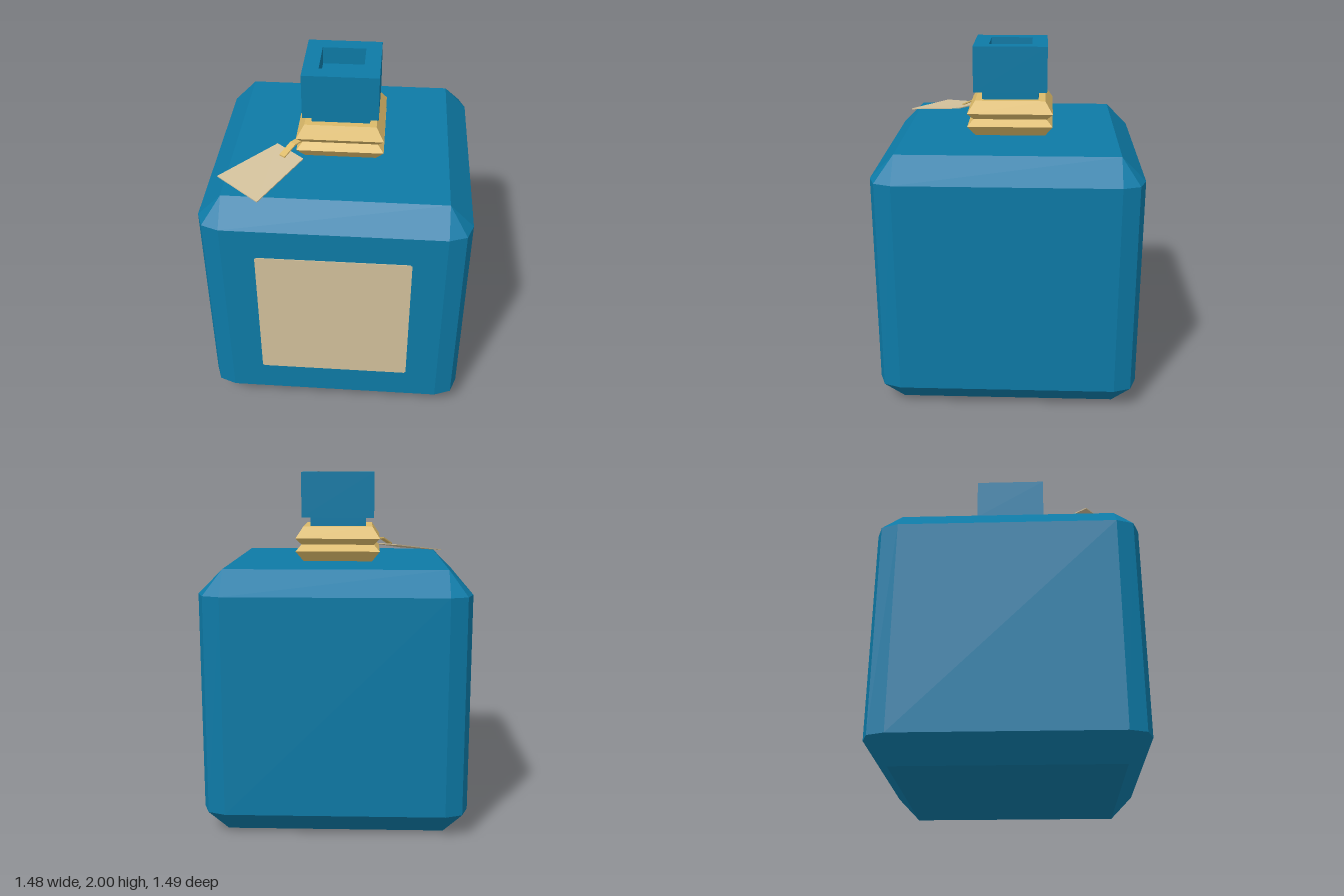
import * as THREE from 'three';

const blue = new THREE.MeshStandardMaterial({ color: 0x0d7aa6 });
blue.name = 'blue glass';
const paper = new THREE.MeshStandardMaterial({ color: 0xd2c09b });
paper.name = 'paper';
const gold = new THREE.MeshStandardMaterial({ color: 0xdcba6a });
gold.name = 'gold cord';

// Faceted solid through rings of [x, y, z] points (anticlockwise from above), capped at both ends
function loft(name, rings, material) {
  const pos = [];
  const tri = (a, b, c) => {
    const [p, q, r] = [a, b, c].map((v) => new THREE.Vector3(...v));
    const area = q.clone().sub(p).cross(r.clone().sub(p)).length();
    if (area > 1e-8) pos.push(...a, ...b, ...c);
  };
  const n = rings[0].length;
  for (let k = 0; k < rings.length - 1; k++) {
    const lo = rings[k], hi = rings[k + 1];
    for (let i = 0; i < n; i++) {
      const j = (i + 1) % n;
      tri(lo[i], lo[j], hi[j]);
      tri(lo[i], hi[j], hi[i]);
    }
  }
  const bottom = rings[0], top = rings[rings.length - 1];
  for (let i = 1; i < n - 1; i++) {
    tri(bottom[0], bottom[i + 1], bottom[i]);
    tri(top[0], top[i], top[i + 1]);
  }
  const geometry = new THREE.BufferGeometry();
  geometry.setAttribute('position', new THREE.Float32BufferAttribute(pos, 3));
  geometry.computeVertexNormals();
  const mesh = new THREE.Mesh(geometry, material);
  mesh.name = name;
  return mesh;
}

// Square ring whose corners are three points: flat half-width, corner point, outer half-width
function ring(y, flat, corner = flat, outer = flat) {
  const pts = [];
  for (let q = 0; q < 4; q++) {
    const c = Math.round(Math.cos(q * Math.PI / 2)), s = Math.round(Math.sin(q * Math.PI / 2));
    for (const [x, z] of [[flat, outer], [corner, corner], [outer, flat]]) {
      pts.push([x * c + z * s, y, z * c - x * s]);
    }
  }
  return pts;
}

// Thin sheet from four corners
const sheet = (name, corners, thickness, material) =>
  loft(name, [corners, corners.map(([x, y, z]) => [x, y + thickness, z])], material);

export function createModel() {
  const group = new THREE.Group();

  // Bevelled square bottle
  group.add(loft('bottle', [
    ring(0, 0.61),
    ring(0.135, 0.61, 0.706, 0.742),
    ring(1.355, 0.61, 0.706, 0.742),
    ring(1.488, 0.61),
  ], blue));

  // Neck and hollow-topped stopper
  group.add(loft('neck', [ring(1.48, 0.162), ring(1.745, 0.162)], blue));
  group.add(loft('stopper', [
    ring(1.74, 0.21), ring(2, 0.21), ring(2, 0.122), ring(1.9, 0.122),
  ], blue));

  // Double-ridged collar
  group.add(loft('collar', [
    ring(1.488, 0.2), ring(1.548, 0.244), ring(1.585, 0.21), ring(1.622, 0.244), ring(1.69, 0.2),
  ], gold));

  // Front label with tiny clipped corners
  const w = 0.427, c = 0.417;
  const outline = [[-c, -w], [c, -w], [w, -c], [w, c], [c, w], [-c, w], [-w, c], [-w, -c]];
  const shape = new THREE.Shape(outline.map(([x, y]) => new THREE.Vector2(x, y)));
  const label = new THREE.Mesh(
    new THREE.ExtrudeGeometry(shape, { depth: 0.006, bevelEnabled: false }), paper);
  label.name = 'label';
  label.position.set(0, 0.748, 0.74);
  group.add(label);

  // Hanging tag resting on the shoulder
  group.add(sheet('tag', [
    [-0.405, 1.489, 0.66], [-0.195, 1.547, 0.33], [-0.355, 1.547, 0.19], [-0.655, 1.492, 0.45],
  ], 0.006, paper));

  // Tag cord, in two flat segments
  const path = [[-0.315, 1.545, 0.31], [-0.262, 1.585, 0.242], [-0.2, 1.585, 0.165]];
  const dx = 0.016, dz = 0.012;
  for (let i = 0; i < 2; i++) {
    const [a, b] = [path[i], path[i + 1]];
    group.add(sheet('tagCord', [
      [a[0] + dx, a[1], a[2] + dz], [b[0] + dx, b[1], b[2] + dz],
      [b[0] - dx, b[1], b[2] - dz], [a[0] - dx, a[1], a[2] - dz],
    ], 0.008, gold));
  }
  return group;
}
